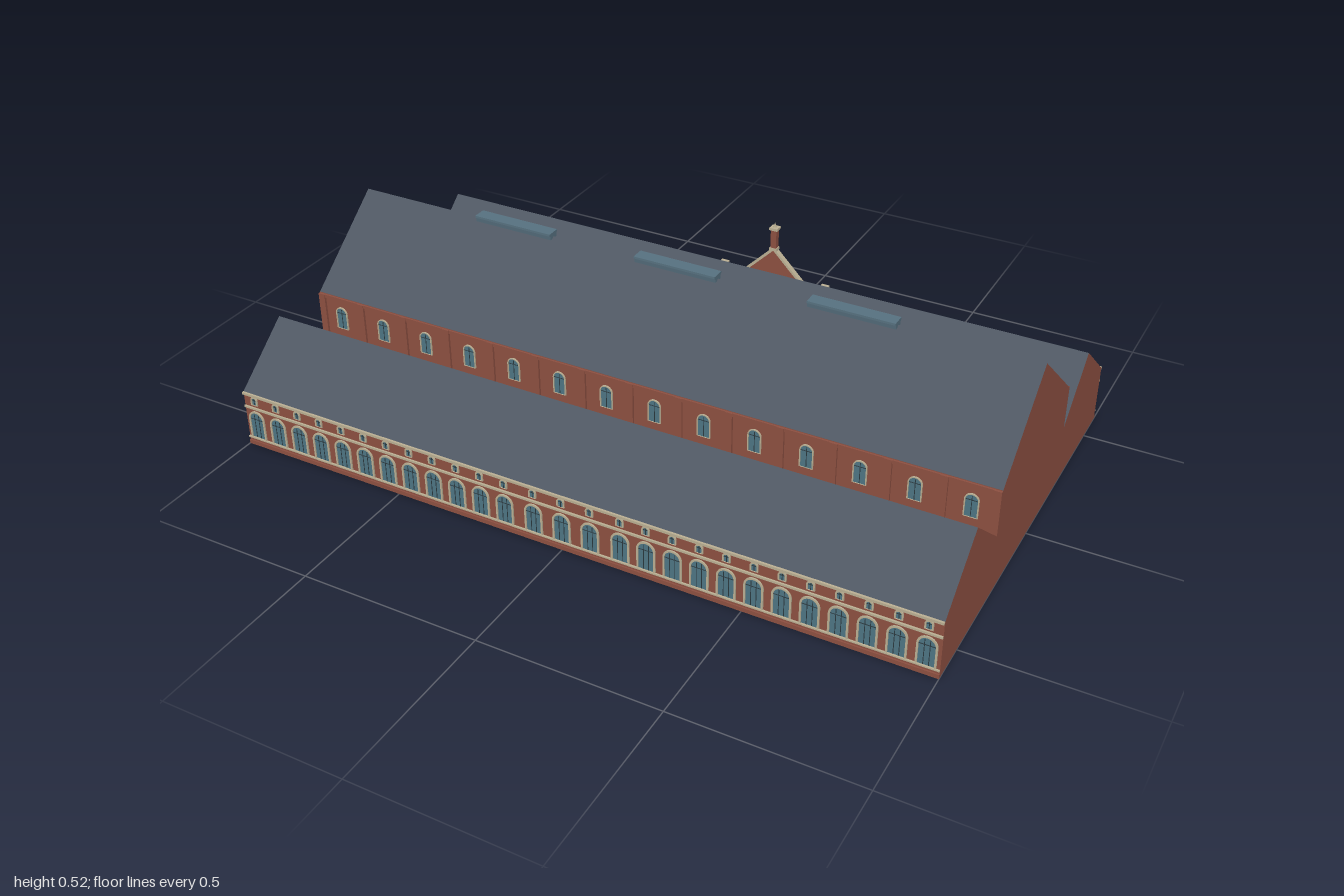
import * as THREE from 'three';

const mat = (color) => new THREE.MeshStandardMaterial({ color, side: THREE.DoubleSide });
const BRICK = mat(0x8c4f40), SLATE = mat(0x4f5762), CREAM = mat(0xb9ae92), GLASS = mat(0x4d7482), DARK = mat(0x2b3a40);

function add(parent, name, geo, material, x = 0, y = 0, z = 0) {
  const m = new THREE.Mesh(geo, material);
  m.name = name;
  m.position.set(x, y, z);
  parent.add(m);
  return m;
}
const box = (parent, name, material, w, h, d, x, y, z) =>
  add(parent, name, new THREE.BoxGeometry(w, h, d), material, x, y, z);

function polygon(points) {
  return new THREE.Shape(points.map(([a, b]) => new THREE.Vector2(a, b)));
}

// Round-headed outline standing on y = 0
function arch(T, w, h) {
  const s = new T(), r = w / 2;
  s.moveTo(-r, 0);
  s.lineTo(r, 0);
  s.lineTo(r, h - r);
  s.absarc(0, h - r, r, 0, Math.PI, false);
  s.closePath();
  return s;
}

// Arched window: stone surround, pane and glazing bars
function windowKit(w, h, t, bars) {
  const frame = arch(THREE.Shape, w + 2 * t, h + t);
  frame.holes.push(arch(THREE.Path, w, h));
  const surround = new THREE.ExtrudeGeometry(frame, { depth: 0.004, bevelEnabled: false, curveSegments: 8 });
  const pane = new THREE.ShapeGeometry(arch(THREE.Shape, w, h), 8);
  const vertical = new THREE.BoxGeometry(0.0018, h, 0.001);
  const horizontal = new THREE.BoxGeometry(w, 0.0018, 0.001);
  return (parent, name, x, y) => {
    const g = new THREE.Group();
    g.name = name;
    g.position.set(x, y, 0);
    add(g, 'surround', surround, CREAM);
    add(g, 'pane', pane, GLASS, 0, 0, 0.001);
    for (let i = 1; i <= bars; i++) {
      const bx = w * (i / (bars + 1) - 0.5);
      add(g, 'verticalBar', vertical, DARK, bx, h * 0.47, 0.0018).scale.y = 0.92;
    }
    add(g, 'crossBar', horizontal, DARK, 0, h - w / 2, 0.0018);
    parent.add(g);
  };
}
const tallWindow = windowKit(0.042, 0.08, 0.005, 2);
const smallWindow = windowKit(0.014, 0.022, 0.004, 1);
const clerestoryWindow = windowKit(0.032, 0.065, 0.003, 1);

// Side facade, facing +z; bays are the window centres
function facade(name, bays, gap) {
  const g = new THREE.Group();
  g.name = name;
  for (const x of bays) {
    tallWindow(g, 'tallWindow', x, 0.026);
    smallWindow(g, 'smallWindow', x, 0.132);
  }
  // Horizontal courses, interrupted where the entrance stands
  const courses = [
    ['plinth', BRICK, 0.012, 0.004, 0.006], ['sillCourse', CREAM, 0.004, 0.005, 0.023],
    ['stringCourse', CREAM, 0.006, 0.005, 0.121], ['cornice', CREAM, 0.007, 0.006, 0.1625],
  ];
  for (const [part, m, h, d, y] of courses) {
    if (gap) for (const s of [-1, 1]) box(g, part, m, 1 - gap, h, d, s * (1 + gap) / 2, y, d / 2);
    else box(g, part, m, 2, h, d, 0, y, d / 2);
  }
  return g;
}

// Gabled entrance, facing +z
function entrance() {
  const g = new THREE.Group();
  g.name = 'entrance';
  const wall = polygon([[-0.165, 0], [0.165, 0], [0.165, 0.15], [0.12, 0.165], [0, 0.285], [-0.12, 0.165], [-0.165, 0.15]]);
  add(g, 'gableWall', new THREE.ExtrudeGeometry(wall, { depth: 0.012, bevelEnabled: false }), BRICK, 0, 0, -0.005);
  // Pillars and raking copings
  for (const s of [-1, 1]) {
    box(g, 'pillar', BRICK, 0.018, 0.192, 0.018, s * 0.165, 0.096, 0.002);
    box(g, 'pillarBand', CREAM, 0.021, 0.005, 0.021, s * 0.165, 0.121, 0.002);
    box(g, 'pillarCap', CREAM, 0.024, 0.008, 0.024, s * 0.165, 0.196, 0.002);
    box(g, 'coping', CREAM, 0.172, 0.007, 0.016, s * 0.06, 0.226, 0.001).rotation.z = -s * Math.PI / 4;
    box(g, 'shoulderCoping', CREAM, 0.04, 0.006, 0.016, s * 0.138, 0.162, 0.001);
  }
  // Glazed doors in tall leaves
  box(g, 'doorSurround', CREAM, 0.27, 0.132, 0.003, 0, 0.066, 0.0075);
  for (let i = -2; i <= 2; i++) {
    box(g, 'doorLeaf', GLASS, 0.05, 0.125, 0.002, i * 0.0525, 0.0625, 0.0095);
    box(g, 'doorBar', DARK, 0.002, 0.125, 0.002, i * 0.0525, 0.0625, 0.0102);
  }
  box(g, 'transom', DARK, 0.26, 0.003, 0.002, 0, 0.092, 0.0105);
  box(g, 'lintel', CREAM, 0.312, 0.007, 0.005, 0, 0.145, 0.009);
  // Round window flanked by small lights
  add(g, 'roundWindowRing', new THREE.TorusGeometry(0.021, 0.0035, 6, 24), CREAM, 0, 0.205, 0.008);
  add(g, 'roundWindow', new THREE.CircleGeometry(0.02, 24), GLASS, 0, 0.205, 0.0085);
  box(g, 'roundWindowBar', DARK, 0.002, 0.04, 0.001, 0, 0.205, 0.009);
  box(g, 'roundWindowBar', DARK, 0.04, 0.002, 0.001, 0, 0.205, 0.009);
  // Finial
  box(g, 'finialBase', CREAM, 0.024, 0.008, 0.02, 0, 0.286, 0.001);
  box(g, 'finialShaft', BRICK, 0.018, 0.06, 0.018, 0, 0.318, 0.001);
  box(g, 'finialCap', CREAM, 0.026, 0.008, 0.024, 0, 0.352, 0.001);
  add(g, 'finialSpike', new THREE.ConeGeometry(0.005, 0.016, 8), CREAM, 0, 0.363, 0.001);
  return g;
}

export function createModel() {
  const model = new THREE.Group();
  // Cross-section of the hall as [z, y], front to back
  const outline = [[0.61, 0], [0.61, 0.165], [0.435, 0.31], [0.26, 0.165], [0.26, 0.3], [0.005, 0.51],
    [-0.25, 0.3], [-0.25, 0.165], [-0.42, 0.31], [-0.6, 0.165], [-0.6, 0]];

  // Long walls and roof slopes
  const strip = (name, material, [z0, y0], [z1, y1]) => {
    const geo = new THREE.PlaneGeometry(2, Math.hypot(z1 - z0, y1 - y0));
    add(model, name, geo, material, 0, (y0 + y1) / 2, (z0 + z1) / 2).rotation.x = Math.atan2(z1 - z0, y1 - y0);
  };
  for (let i = 0; i < outline.length - 1; i++) {
    const a = outline[i], b = outline[i + 1], upright = a[0] === b[0];
    strip(upright ? 'longWall' : 'roofSlope', upright ? BRICK : SLATE, a, b);
  }
  for (const z of [0.26, -0.25]) strip('naveWall', BRICK, [z, 0], [z, 0.165]);

  // Gable ends and the cross walls inside the aisles
  const crossWall = (name, points, x) =>
    add(model, name, new THREE.ShapeGeometry(polygon(points)).rotateY(-Math.PI / 2), BRICK, x);
  for (const x of [-1, 1]) crossWall('gableEnd', outline, x);
  const aisles = [[[0.61, 0], [0.61, 0.164], [0.435, 0.309], [0.26, 0.164], [0.26, 0]],
    [[-0.25, 0], [-0.25, 0.164], [-0.42, 0.309], [-0.6, 0.164], [-0.6, 0]]];
  for (const aisle of aisles) for (const x of [-3 / 7, 0, 3 / 7]) crossWall('aisleCrossWall', aisle, x);

  // Facades
  const sideBays = [];
  for (let i = 0; i < 12; i++) sideBays.push(0.965 - i * 0.0725, -0.965 + i * 0.0725);
  const front = facade('frontFacade', [...sideBays, -0.082, 0, 0.082], 0);
  front.position.z = 0.61;
  const back = facade('backFacade', sideBays.filter((x) => Math.abs(x) > 0.18 || Math.abs(x) < 0), 0.165);
  back.position.z = -0.6;
  back.rotation.y = Math.PI;
  back.add(entrance());
  model.add(front, back);

  // Clerestory windows and piers, both sides of the nave
  for (const [z, turn] of [[0.26, 0], [-0.25, Math.PI]]) {
    const g = new THREE.Group();
    g.name = 'clerestory';
    g.position.z = z;
    g.rotation.y = turn;
    for (let i = 0; i < 14; i++) clerestoryWindow(g, 'clerestoryWindow', (i - 6.5) / 7, 0.2);
    for (let i = 0; i <= 14; i++) {
      const x = THREE.MathUtils.clamp((i - 7) / 7, -0.99, 0.99);
      box(g, 'pier', BRICK, 0.02, 0.132, 0.007, x, 0.232, 0.0035);
    }
    box(g, 'eavesBand', BRICK, 2, 0.01, 0.005, 0, 0.293, 0.0025);
    model.add(g);
  }

  // Ridge ventilators, flaring upwards
  const section = polygon([[-0.014, 0], [0.014, 0], [0.016, 0.012], [0.019, 0.013], [0.019, 0.019], [-0.019, 0.019], [-0.019, 0.013], [-0.016, 0.012]]);
  const vent = new THREE.ExtrudeGeometry(section, { depth: 0.24, bevelEnabled: false }).translate(0, 0, -0.12).rotateY(Math.PI / 2);
  for (const x of [-0.5, 0, 0.5]) add(model, 'ridgeVentilator', vent, mat(0x56707f), x, 0.504, 0.005);

  return model;
}
